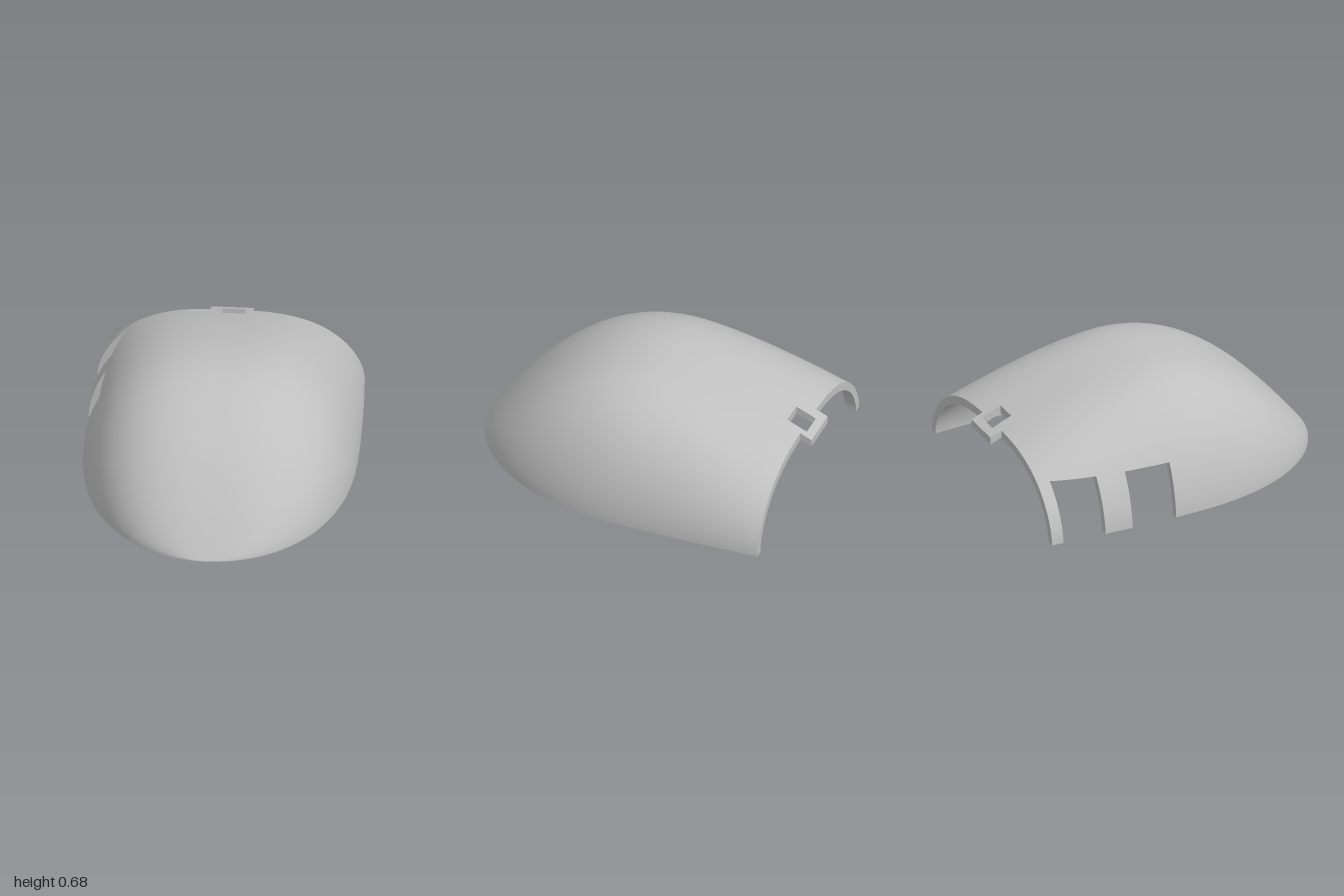
import * as THREE from 'three';
import { toCreasedNormals } from 'three/addons/utils/BufferGeometryUtils.js';

const WALL = 0.045, BACK = -0.93, CAVITY_END = 0.81, CUT_Y = 0.315;
const A = 2.9, B = 1.7; // exponents of the superellipse cross-section

// Crown height along z, evenly sampled from z = -1.2 to 1.2
const heights = [0.31, 0.4, 0.483, 0.555, 0.615, 0.658, 0.677, 0.65, 0.572, 0.438, 0.245, 0, -0.28];
const crown = new THREE.SplineCurve(heights.map((h, i) => new THREE.Vector2(-1.2 + i * 0.2, h)));
const height = z => Math.max(0, crown.getPoint((z + 1.2) / 2.4).y);

// Half width of the footprint along z
const width = z => z < -0.2
  ? 0.78 - 0.025 * ((z + 0.2) / 0.73) ** 2
  : 0.78 * Math.sqrt(Math.max(0, 1 - ((z + 0.2) / 1.2) ** 2.5));

// Section size; inset is the wall thickness for the inner skin
function section(z, inset) {
  const slope = (height(z + 0.01) - height(z - 0.01)) / 0.02;
  return { w: width(z) - inset, h: height(z) - inset * Math.hypot(1, slope) };
}

const surfaceY = (x, z) =>
  height(z) * Math.max(0, 1 - Math.abs(x / width(z)) ** A) ** (1 / B);

// Columns run over the arch; bands are split at the side cut line and latch hole
const bands = [10, 28, 4, 28, 10];
const columns = bands.flatMap((n, band) => Array.from({ length: n }, (_, k) => ({ band, f: k / n })));
columns.push({ band: 4, f: 1 });

function point(z, col, inset) {
  const ref = section(Math.min(z, -0.1), inset);
  const cut = Math.asin((CUT_Y / ref.h) ** (B / 2));
  const holeAt = x => Math.acos(Math.sign(x) * (Math.abs(x) / ref.w) ** (A / 2));
  const breaks = [0, cut, holeAt(0.08), holeAt(-0.053), Math.PI - cut, Math.PI];
  const t = THREE.MathUtils.lerp(breaks[col.band], breaks[col.band + 1], col.f);
  const { w, h } = section(z, inset);
  const c = Math.cos(t), s = Math.max(0, Math.sin(t));
  return [w * Math.sign(c) * Math.abs(c) ** (2 / A), s < 1e-9 ? 0 : h * s ** (2 / B), z];
}

// Rows run back to front, with lines at each cut-out edge
const stops = [BACK, -0.86, -0.835, -0.6, -0.43, -0.155, CAVITY_END];
const rows = [];
for (let i = 0; i < stops.length - 1; i++) {
  const n = Math.ceil((stops[i + 1] - stops[i]) / 0.035);
  for (let k = 0; k < n; k++) rows.push(stops[i] + (stops[i + 1] - stops[i]) * k / n);
}
const capRow = rows.length;
for (let k = 0; k <= 16; k++) rows.push(1 - (1 - CAVITY_END) * (1 - k / 16) ** 2);

function filled(i, j) {
  if (i < 0 || j < 0 || i >= rows.length - 1 || j >= columns.length - 1) return false;
  const z = (rows[i] + rows[i + 1]) / 2, band = columns[j].band;
  if (band === 2 && z < -0.835) return false;
  const inSlot = (z > -0.86 && z < -0.6) || (z > -0.43 && z < -0.155);
  return !(band === 4 && inSlot);
}

function geometryFrom(positions, index) {
  const g = new THREE.BufferGeometry();
  g.setAttribute('position', new THREE.Float32BufferAttribute(positions, 3));
  if (index) g.setIndex(index);
  g.computeVertexNormals();
  return g;
}

// One smooth skin of the shell
function skin(inset, lastRow, inward) {
  const n = columns.length, index = [];
  const positions = rows.slice(0, lastRow + 1).flatMap(z => columns.flatMap(c => point(z, c, inset)));
  for (let i = 0; i < lastRow; i++) for (let j = 0; j < n - 1; j++) {
    if (!filled(i, j)) continue;
    const a = i * n + j, b = a + 1, c = a + n, d = c + 1;
    if (inward) index.push(a, c, b, b, c, d);
    else index.push(a, b, c, b, d, c);
  }
  return geometryFrom(positions, index);
}

// Flat faces joining the two skins along every open edge
function rim() {
  const out = [];
  const wall = (p, q) => {
    const at = ([i, j], inset) => point(rows[i], columns[j], inset);
    const po = at(p, 0), qo = at(q, 0), pi = at(p, WALL), qi = at(q, WALL);
    out.push(...qo, ...po, ...pi, ...qo, ...pi, ...qi);
  };
  for (let i = 0; i < capRow; i++) for (let j = 0; j < columns.length - 1; j++) {
    if (!filled(i, j)) continue;
    const a = [i, j], b = [i, j + 1], c = [i + 1, j], d = [i + 1, j + 1];
    if (!filled(i - 1, j)) wall(a, b);
    if (!filled(i, j + 1)) wall(b, d);
    if (!filled(i + 1, j)) wall(d, c);
    if (!filled(i, j - 1)) wall(c, a);
  }
  return geometryFrom(out);
}

const flat = pts => new THREE.ShapeGeometry(new THREE.Shape(pts.map(p => new THREE.Vector2(...p))));

// Hollow-tipped screw post whose top follows the shell
function post(x, y, z) {
  const r = 0.062, hole = 0.014;
  const profile = [[0, 0.1], [hole, 0.1], [hole, 0], [r, 0], [r, 1]].map(p => new THREE.Vector2(...p));
  const g = new THREE.LatheGeometry(profile, 32);
  g.translate(x, y, z);
  const p = g.attributes.position;
  for (let i = 0; i < p.count; i++) {
    if (p.getY(i) > y + 0.5) p.setY(i, surfaceY(p.getX(i), p.getZ(i)) - 0.02);
  }
  return toCreasedNormals(g, 0.6);
}

// U-shaped latch tab, sheared to follow the slope of the crown
function tab() {
  const outline = [[-0.12, -1], [0.12, -1], [0.12, -0.925], [0.08, -0.925],
    [0.08, -0.955], [-0.053, -0.955], [-0.053, -0.925], [-0.12, -0.925]];
  const shape = new THREE.Shape(outline.map(p => new THREE.Vector2(...p)));
  const g = new THREE.ExtrudeGeometry(shape, { depth: WALL, bevelEnabled: false });
  g.rotateX(Math.PI / 2); // shape y becomes z, depth runs down
  const p = g.attributes.position;
  for (let i = 0; i < p.count; i++) p.setY(i, p.getY(i) + height(p.getZ(i)));
  g.computeVertexNormals();
  return g;
}

export function createModel() {
  const group = new THREE.Group();
  const plastic = new THREE.MeshStandardMaterial({ color: 0xc0c0c0 });
  plastic.name = 'grey plastic';
  const add = (name, geometry) => {
    const mesh = new THREE.Mesh(geometry, plastic);
    mesh.name = name;
    group.add(mesh);
  };

  add('outerShell', skin(0, rows.length - 1, false));
  add('innerShell', skin(WALL, capRow, true));
  add('shellRim', rim());

  // Solid nose: upright wall closing the cavity, and flat underside
  const noseWall = flat(columns.map(c => point(CAVITY_END, c, WALL).slice(0, 2)));
  noseWall.rotateY(Math.PI).translate(0, 0, CAVITY_END);
  add('noseWall', noseWall);
  const noseRows = rows.slice(capRow);
  const noseBase = flat([
    ...noseRows.map(z => [width(z), z]),
    ...noseRows.slice(0, -1).reverse().map(z => [-width(z), z]),
  ]);
  noseBase.rotateX(Math.PI / 2);
  add('noseBase', noseBase);

  add('latchTab', tab());

  add('frontPost', post(0, 0.04, 0.56));
  for (const [side, s] of [['left', 1], ['right', -1]]) {
    add(side + 'MiddlePost', post(s * 0.46, 0.04, 0.23));
    add(side + 'BackPost', post(s * 0.28, 0.37, -0.73));
  }
  return group;
}
